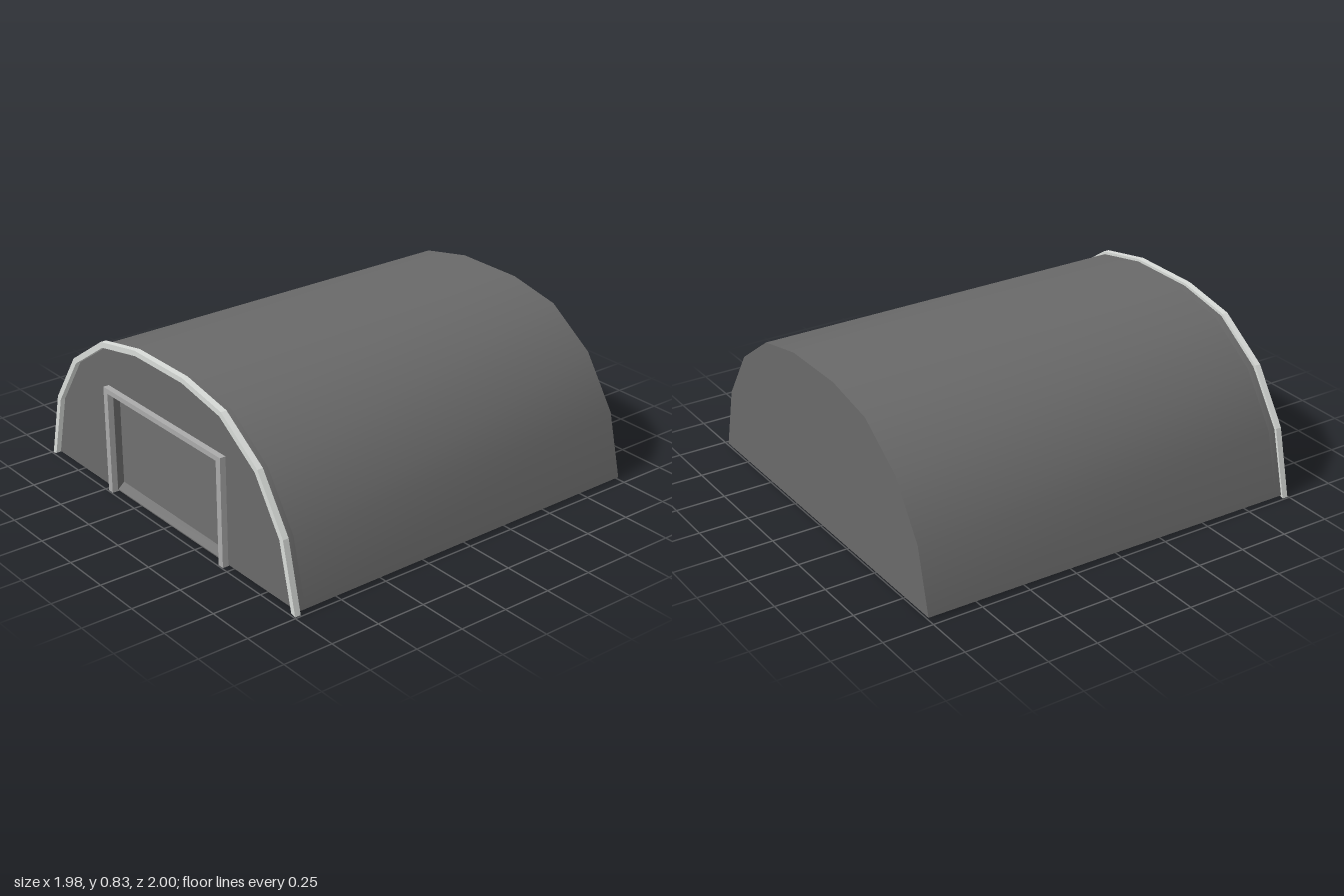
import * as THREE from 'three';
import { toCreasedNormals } from 'three/addons/utils/BufferGeometryUtils.js';

const material = (name, color) => {
  const m = new THREE.MeshStandardMaterial({ color });
  m.name = name;
  return m;
};

// Right half of an arch, mirrored into the full list of points from right foot to left foot
const arch = half => [...half, ...half.slice().reverse().map(([x, y]) => [-x, y])]
  .map(([x, y]) => new THREE.Vector2(x, y));

const rectangle = (x, y0, y1) => [[-x, y0], [x, y0], [x, y1], [-x, y1]]
  .map(([px, py]) => new THREE.Vector2(px, py));

function extrude(shape, z0, z1) {
  const g = new THREE.ExtrudeGeometry(shape, { depth: z1 - z0, bevelEnabled: false });
  return g.translate(0, 0, z0);
}

// The hall narrows slightly towards the back
function taper(g) {
  const p = g.attributes.position;
  for (let i = 0; i < p.count; i++) p.setX(i, p.getX(i) * (0.98 + 0.01 * p.getZ(i)));
  return toCreasedNormals(g, 0.5);
}

export function createModel() {
  const group = new THREE.Group();
  const wall = material('dark grey wall', 0x696969);
  const panel = material('grey door', 0x6f6f6f);
  const trim = material('mid grey trim', 0xaaaaaa);
  const pale = material('pale grey rim', 0xd8dbd8);
  const add = (name, geometry, mat) => {
    const mesh = new THREE.Mesh(geometry, mat);
    mesh.name = name;
    group.add(mesh);
    return mesh;
  };

  // Arched hall, with the doorway cut into its front slab
  const profile = arch([[0.99, 0.012], [0.91, 0.332], [0.733, 0.59], [0.477, 0.762], [0.19, 0.818]]);
  add('hall', taper(extrude(new THREE.Shape(profile), -1, 0.93)), wall);
  const front = new THREE.Shape(profile);
  front.holes.push(new THREE.Path(rectangle(0.44, 0.016, 0.532).reverse()));
  add('frontWall', taper(extrude(front, 0.93, 0.97)), wall);

  // Recessed door with sloping sill and lintel, extruded across its width
  const section = new THREE.Shape([[0.925, 0.014], [0.97, 0.014], [0.935, 0.045], [0.935, 0.507],
    [0.97, 0.534], [0.925, 0.534]].map(([z, y]) => new THREE.Vector2(-z, y)).reverse());
  const door = extrude(section, -0.435, 0.435).rotateY(Math.PI / 2);
  add('door', door, panel);

  // Door frame: two posts and a beam in one piece
  const frame = new THREE.Shape([[-0.47, 0.005], [-0.437, 0.005], [-0.437, 0.527], [0.437, 0.527],
    [0.437, 0.005], [0.47, 0.005], [0.47, 0.552], [-0.47, 0.552]].map(p => new THREE.Vector2(...p)));
  add('doorFrame', extrude(frame, 0.96, 1), trim);

  // Pale rim around the front arch
  const outer = arch([[0.992, 0], [0.912, 0.34], [0.737, 0.602], [0.48, 0.775], [0.19, 0.831]]);
  const inner = arch([[0.964, 0.008], [0.886, 0.33], [0.718, 0.582], [0.467, 0.75], [0.185, 0.805]]);
  add('archRim', extrude(new THREE.Shape([...outer, ...inner.reverse()]), 0.965, 0.995), pale);

  return group;
}
